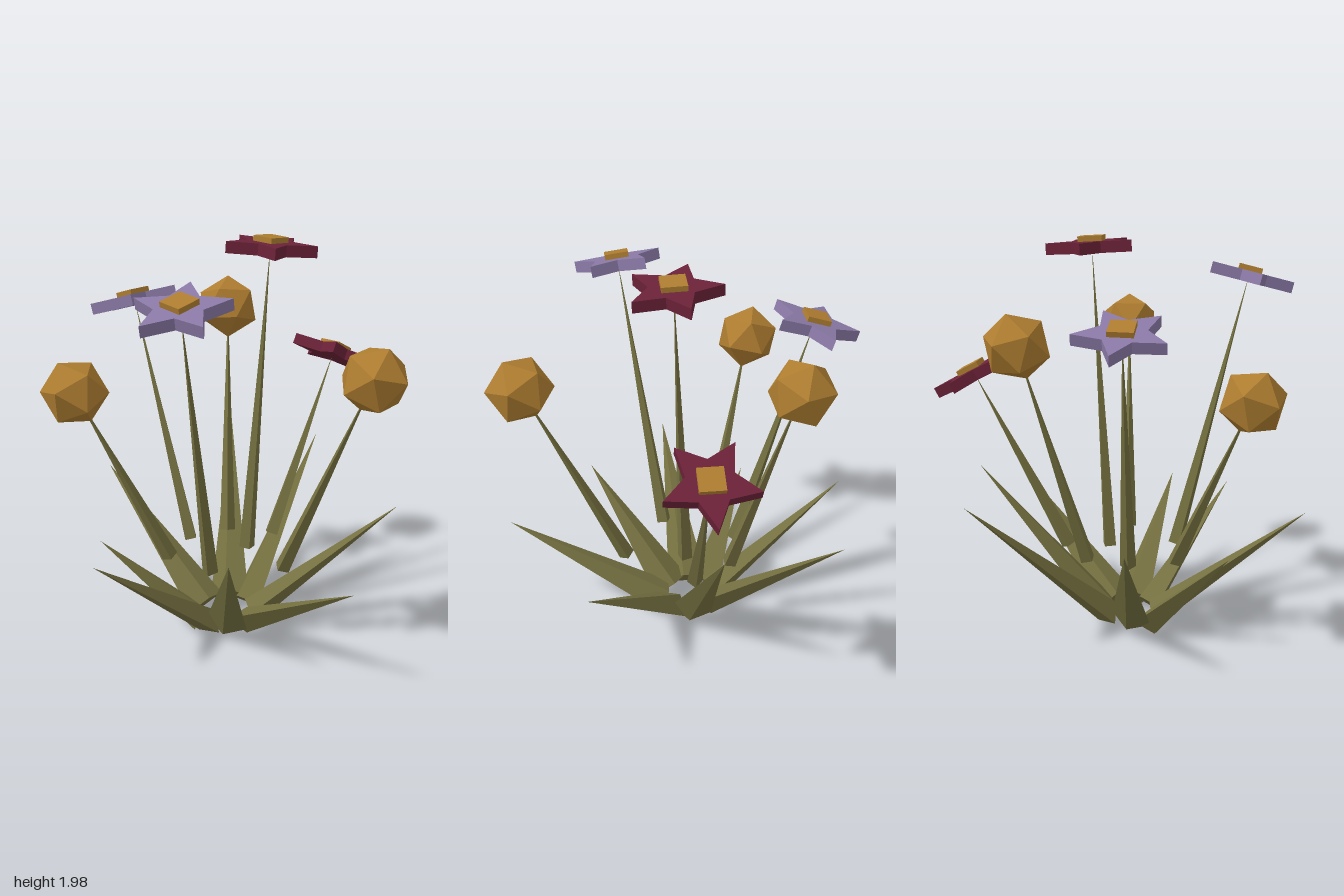
import * as THREE from 'three';

const V = (a) => new THREE.Vector3(...a);
const UP = new THREE.Vector3(0, 1, 0);

function mat(name, color) {
  const m = new THREE.MeshStandardMaterial({ color });
  m.name = name;
  return m;
}

// Faceted normals for low-poly parts
function flat(geo) {
  const g = geo.index ? geo.toNonIndexed() : geo;
  g.computeVertexNormals();
  return g;
}

// Four-sided spike with its base at the origin, pointing up
function spike() {
  return flat(new THREE.ConeGeometry(1, 1, 4).translate(0, 0.5, 0));
}

// Five-pointed star slab lying flat, centred on the origin
function starSlab(outer, inner, depth) {
  const shape = new THREE.Shape();
  for (let i = 0; i < 10; i++) {
    const r = i % 2 ? inner : outer;
    const a = (i * Math.PI) / 5;
    if (i === 0) shape.moveTo(r, 0);
    else shape.lineTo(r * Math.cos(a), r * Math.sin(a));
  }
  shape.closePath();
  return new THREE.ExtrudeGeometry(shape, { depth, bevelEnabled: false })
    .translate(0, 0, -depth / 2)
    .rotateX(-Math.PI / 2);
}

export function createModel() {
  const model = new THREE.Group();
  model.name = 'flowerTuft';

  const green = mat('olive green', 0x757040);
  const purple = mat('dusty purple', 0x8a79a6);
  const maroon = mat('maroon', 0x6b2238);
  const gold = mat('golden brown', 0xae7d30);

  const spikeGeo = spike();
  const starGeo = starSlab(0.225, 0.112, 0.055);
  const centreGeo = flat(new THREE.CylinderGeometry(0.083, 0.083, 0.04, 4));
  const ballGeo = new THREE.IcosahedronGeometry(0.162, 0).rotateZ(0.5536);

  // Spike from base to tip, with its wide axis rolled about its length
  function addSpike(name, base, tip, width, thick, roll) {
    const b = V(base);
    const dir = V(tip).sub(b);
    const length = dir.length();
    dir.normalize();
    const side = UP.clone().cross(dir).normalize();
    const wide = side.applyAxisAngle(dir, roll);
    const normal = wide.clone().cross(dir);
    const mesh = new THREE.Mesh(spikeGeo, green);
    mesh.name = name;
    mesh.quaternion.setFromRotationMatrix(new THREE.Matrix4().makeBasis(wide, dir, normal));
    mesh.position.copy(b);
    mesh.scale.set(width, length, thick);
    model.add(mesh);
    return dir;
  }

  // Leaves: base, tip
  const leaves = [
    [[0.13, 0.10, 0.07], [0.86, 0.64, -0.02]],
    [[0.10, 0.09, 0.16], [0.56, 0.56, 0.80]],
    [[0.00, 0.09, 0.19], [0.01, 0.66, 0.73]],
    [[-0.10, 0.09, 0.16], [-0.59, 0.65, 0.72]],
    [[-0.16, 0.07, 0.08], [-0.625, 0.535, 0.18]],
    [[-0.11, 0.10, -0.01], [-0.64, 0.70, -0.45]],
    [[0.01, 0.11, -0.07], [0.02, 0.83, -0.87]],
    [[0.10, 0.10, -0.03], [0.48, 0.86, -0.52]],
  ];
  for (const [base, tip] of leaves) {
    // roll lowers the edge on the leaf's left
    const d = V(tip).sub(V(base)).normalize();
    const s = UP.clone().cross(d).normalize();
    const lowers = s.clone().applyAxisAngle(d, 0.35).y < 0 ? 0.35 : -0.35;
    addSpike('leaf', base, tip, 0.105, 0.065, lowers);
  }

  // Flowers: stem base, head centre, petal colour (none for a ball), star turn in degrees
  const flowers = [
    [[-0.285, 0.43, 0.13], [-0.71, 1.31, 0.22]],
    [[0.00, 0.43, -0.20], [0.00, 1.545, -0.58]],
    [[0.27, 0.43, 0.26], [0.64, 1.465, 0.54]],
    [[-0.19, 0.43, -0.09], [-0.47, 1.63, -0.335], purple, 57],
    [[-0.08, 0.43, 0.30], [-0.19, 1.79, 0.655], purple, 80],
    [[0.10, 0.43, 0.01], [0.20, 1.945, -0.02], maroon, 58],
    [[0.23, 0.43, -0.155], [0.555, 1.315, -0.495], maroon, 47],
  ];
  for (const [base, top, petals, turn] of flowers) {
    const dir = addSpike('stem', base, top, 0.04, 0.04, 0);
    const head = new THREE.Group();
    head.name = petals ? 'starFlower' : 'ballFlower';
    head.position.copy(V(top));
    head.quaternion.setFromUnitVectors(UP, dir);
    if (petals) {
      const star = new THREE.Mesh(starGeo, petals);
      star.name = 'petals';
      star.rotation.y = THREE.MathUtils.degToRad(turn);
      const centre = new THREE.Mesh(centreGeo, gold);
      centre.name = 'flowerCentre';
      centre.position.y = 0.033;
      head.add(star, centre);
    } else {
      const ball = new THREE.Mesh(ballGeo, gold);
      ball.name = 'ballHead';
      head.add(ball);
    }
    model.add(head);
  }
  return model;
}
